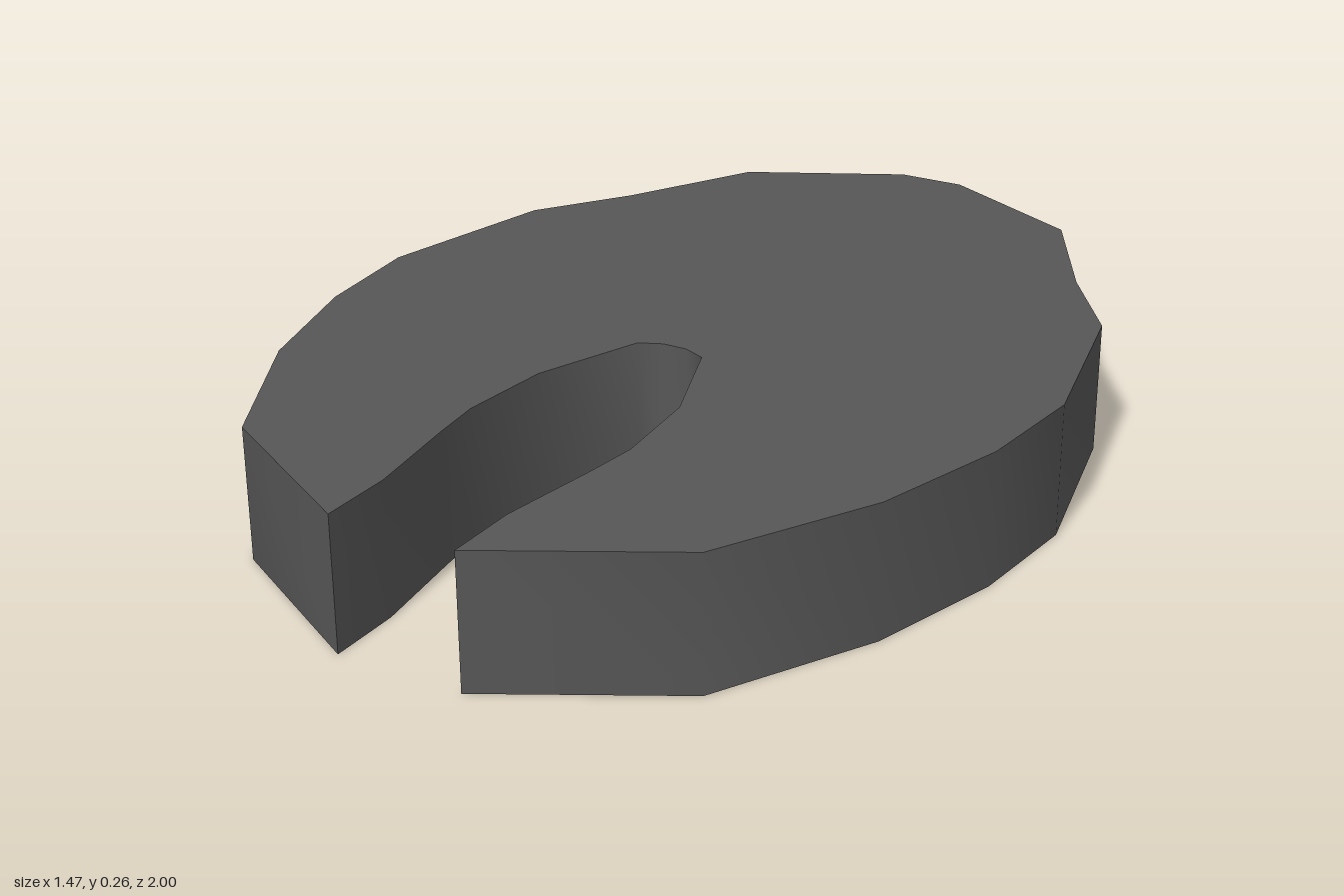
import * as THREE from 'three';
import { toCreasedNormals } from 'three/addons/utils/BufferGeometryUtils.js';

export function createModel() {
  const group = new THREE.Group();
  group.name = 'slottedPlate';
  const darkGrey = new THREE.MeshStandardMaterial({ color: 0x575757 });
  darkGrey.name = 'darkGrey';

  // Left half of the outline as [x, z]: outer rim from back to front, then up the slot
  const half = [
    [0.07, -1], [0.38, -0.84], [0.525, -0.57], [0.655, -0.38], [0.735, 0],
    [0.71, 0.24], [0.63, 0.51], [0.465, 0.81], [0.125, 1],
    [0.125, 0.855], [0.155, 0.65], [0.167, 0.545], [0.15, 0.355], [0.07, 0.14], [0.025, 0.12],
  ];
  const mirrored = half.map(([x, z]) => [-x, z]).reverse();
  const outline = [...half, ...mirrored].map(([x, z]) => new THREE.Vector2(x, -z));

  // Flat plate with a keyhole slot open to the front, smooth round the sides
  const flat = new THREE.ExtrudeGeometry(new THREE.Shape(outline), { depth: 0.26, bevelEnabled: false });
  flat.rotateX(-Math.PI / 2);
  const plate = new THREE.Mesh(toCreasedNormals(flat, 0.87), darkGrey);
  plate.name = 'plate';
  group.add(plate);
  return group;
}
